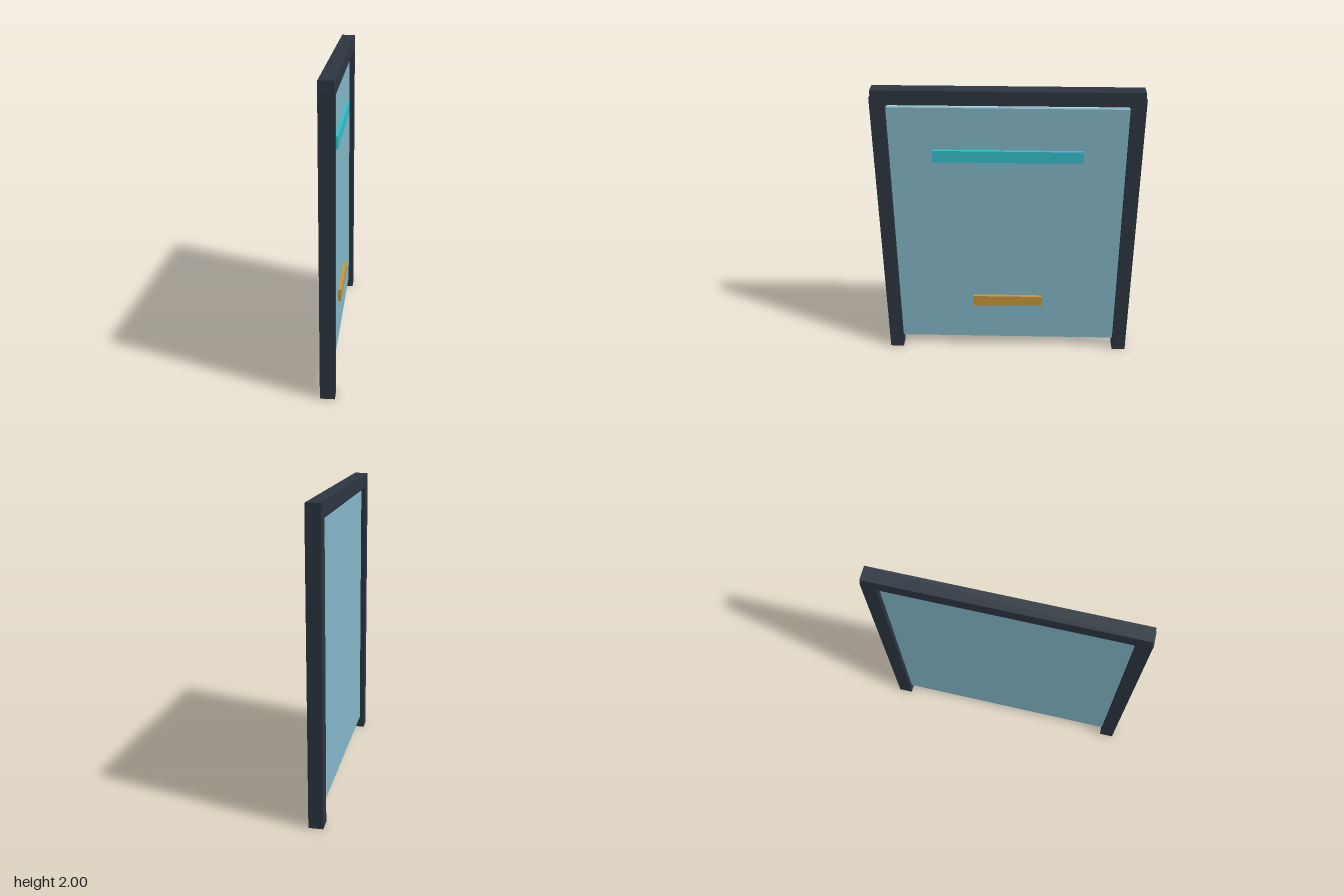
import * as THREE from 'three';

export function createModel() {
  const model = new THREE.Group();
  model.name = 'glassDoorPanel';

  const material = (name, color) => {
    const m = new THREE.MeshStandardMaterial({ color });
    m.name = name;
    return m;
  };
  const frame = material('dark slate', 0x2d3641);
  const glass = material('pale blue glass', 0x84b8c9);
  const teal = material('teal', 0x35c0cb);
  const amber = material('amber', 0xc8983a);

  // Box given by its x and y ranges and its half length along z
  const slab = (name, mat, [x0, x1], [y0, y1], halfZ, z = 0) => {
    const mesh = new THREE.Mesh(new THREE.BoxGeometry(x1 - x0, y1 - y0, halfZ * 2), mat);
    mesh.position.set((x0 + x1) / 2, (y0 + y1) / 2, z);
    mesh.name = name;
    model.add(mesh);
  };

  // Frame: two posts, and a lintel set slightly in from their outer faces
  const depth = [-0.047, 0.047];
  for (const side of [1, -1]) {
    slab(side > 0 ? 'frontPost' : 'backPost', frame, depth, [0, 1.953], 0.0475, side * 0.814);
  }
  slab('lintel', frame, depth, [1.905, 2], 0.853);

  // Pane, hung clear of the lintel and the ground
  slab('pane', glass, [-0.015, 0.015], [0.08, 1.876], 0.767);

  // Raised strips on one face of the pane
  slab('upperStrip', teal, [0.015, 0.036], [1.508, 1.589], 0.487);
  slab('lowerStrip', amber, [0.015, 0.036], [0.37, 0.451], 0.243);

  return model;
}
